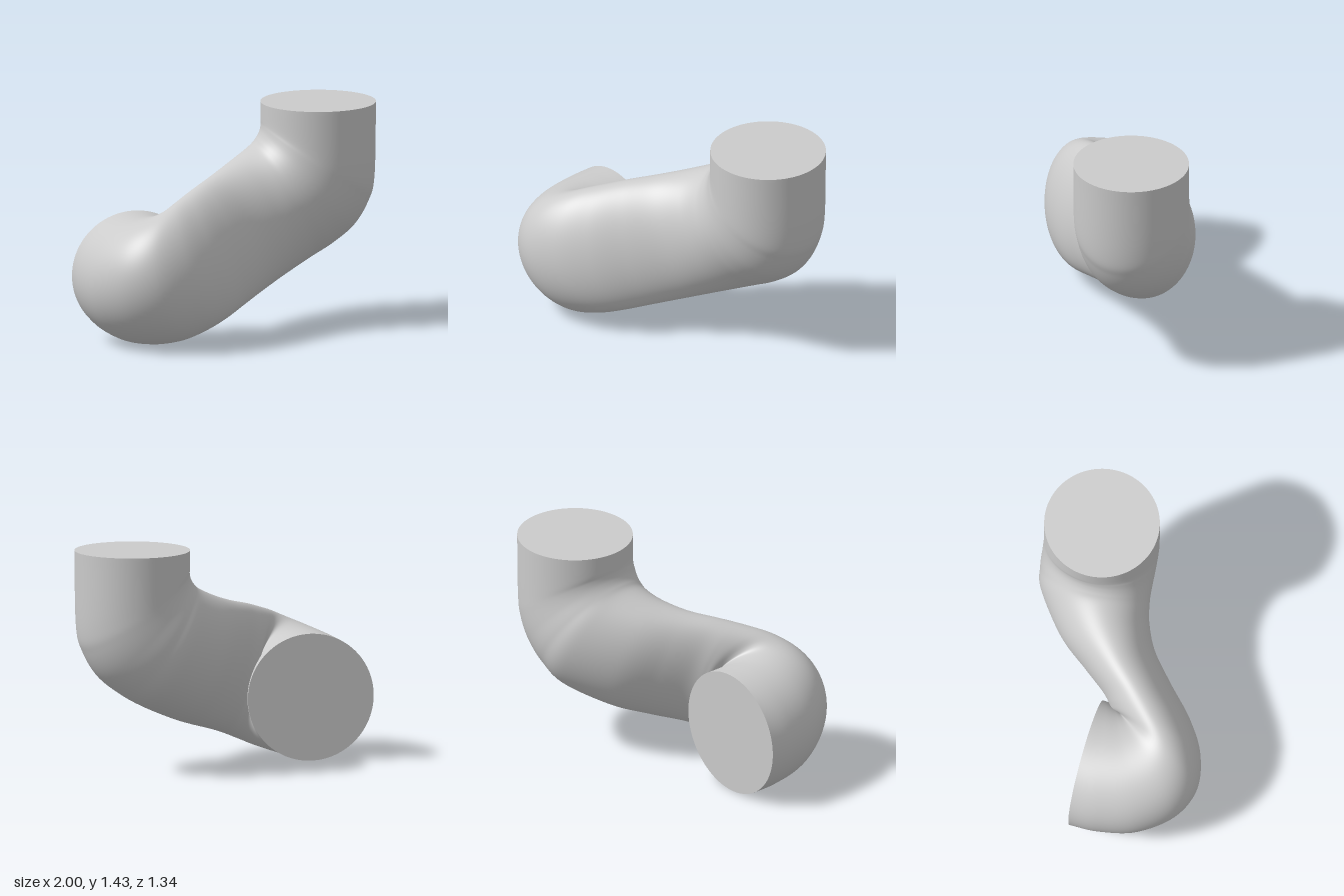
import * as THREE from 'three';

// Cross-sections along the pipe: centre, sideways half-axis, upward half-axis
const SECTIONS = [
  [-0.59, 0.407, -0.06, -0.41, 0, 0, 0, 0.407, 0],
  [-0.588, 0.407, 0.05, -0.404, 0, 0.08, 0, 0.407, 0],
  [-0.565, 0.412, 0.185, -0.367, 0, 0.185, -0.01, 0.409, 0],
  [-0.5, 0.432, 0.298, -0.28, 0, 0.283, -0.04, 0.412, 0],
  [-0.408, 0.466, 0.342, -0.172, -0.01, 0.326, -0.08, 0.412, 0],
  [-0.3, 0.514, 0.315, -0.06, -0.01, 0.31, -0.11, 0.406, 0],
  [-0.198, 0.557, 0.245, 0.028, -0.01, 0.255, -0.12, 0.4, 0],
  [-0.085, 0.601, 0.13, 0.085, 0, 0.2, -0.125, 0.396, 0.01],
  [0.05, 0.648, -0.02, 0.12, 0, 0.195, -0.13, 0.39, 0.03],
  [0.2, 0.708, -0.163, 0.12, 0, 0.258, -0.14, 0.385, 0.05],
  [0.375, 0.792, -0.278, 0.05, 0, 0.345, -0.185, 0.37, 0.05],
  [0.478, 0.86, -0.302, 0.02, 0, 0.362, -0.242, 0.347, 0.035],
  [0.559, 0.938, -0.307, 0.005, 0, 0.366, -0.301, 0.31, 0.02],
  [0.608, 1.032, -0.308, 0, 0, 0.367, -0.342, 0.255, 0.01],
  [0.628, 1.135, -0.308, 0, 0, 0.367, -0.362, 0.19, 0],
  [0.633, 1.43, -0.308, 0, 0, 0.367, -0.367, 0, 0],
];
const STEPS = 150, SIDES = 96;

const curveOf = (k) => new THREE.CatmullRomCurve3(
  SECTIONS.map((s) => new THREE.Vector3(s[k], s[k + 1], s[k + 2])), false, 'catmullrom', 0.5);
const centre = curveOf(0), side = curveOf(3), up = curveOf(6);

// Points of the ring at position t along the pipe
function ring(t) {
  const c = centre.getPoint(t), u = side.getPoint(t), v = up.getPoint(t);
  return Array.from({ length: SIDES }, (_, j) => {
    const a = (j / SIDES) * Math.PI * 2;
    return c.clone().addScaledVector(u, Math.cos(a)).addScaledVector(v, Math.sin(a));
  });
}

function geometryFrom(points, index) {
  const g = new THREE.BufferGeometry().setFromPoints(points);
  g.setIndex(index);
  g.computeVertexNormals();
  return g;
}

// Smooth wall joining all rings
function wallGeometry() {
  const points = [], index = [];
  for (let i = 0; i <= STEPS; i++) points.push(...ring(i / STEPS));
  for (let i = 0; i < STEPS; i++) {
    for (let j = 0; j < SIDES; j++) {
      const k = (j + 1) % SIDES;
      const a = i * SIDES + j, b = a + SIDES, c = i * SIDES + k, d = c + SIDES;
      index.push(a, b, c, b, d, c);
    }
  }
  return geometryFrom(points, index);
}

// Flat disc closing one end
function capGeometry(t) {
  const points = [centre.getPoint(t), ...ring(t)], index = [];
  for (let j = 0; j < SIDES; j++) {
    const a = j + 1, b = ((j + 1) % SIDES) + 1;
    index.push(0, ...(t === 0 ? [a, b] : [b, a]));
  }
  return geometryFrom(points, index);
}

export function createModel() {
  const group = new THREE.Group();
  group.name = 'bentPipe';
  const material = new THREE.MeshStandardMaterial({ color: 0xcccccc });
  const add = (name, geometry) => {
    const mesh = new THREE.Mesh(geometry, material);
    mesh.name = name;
    group.add(mesh);
  };
  add('pipeWall', wallGeometry());
  add('backEndCap', capGeometry(0));
  add('topEndCap', capGeometry(1));
  return group;
}
